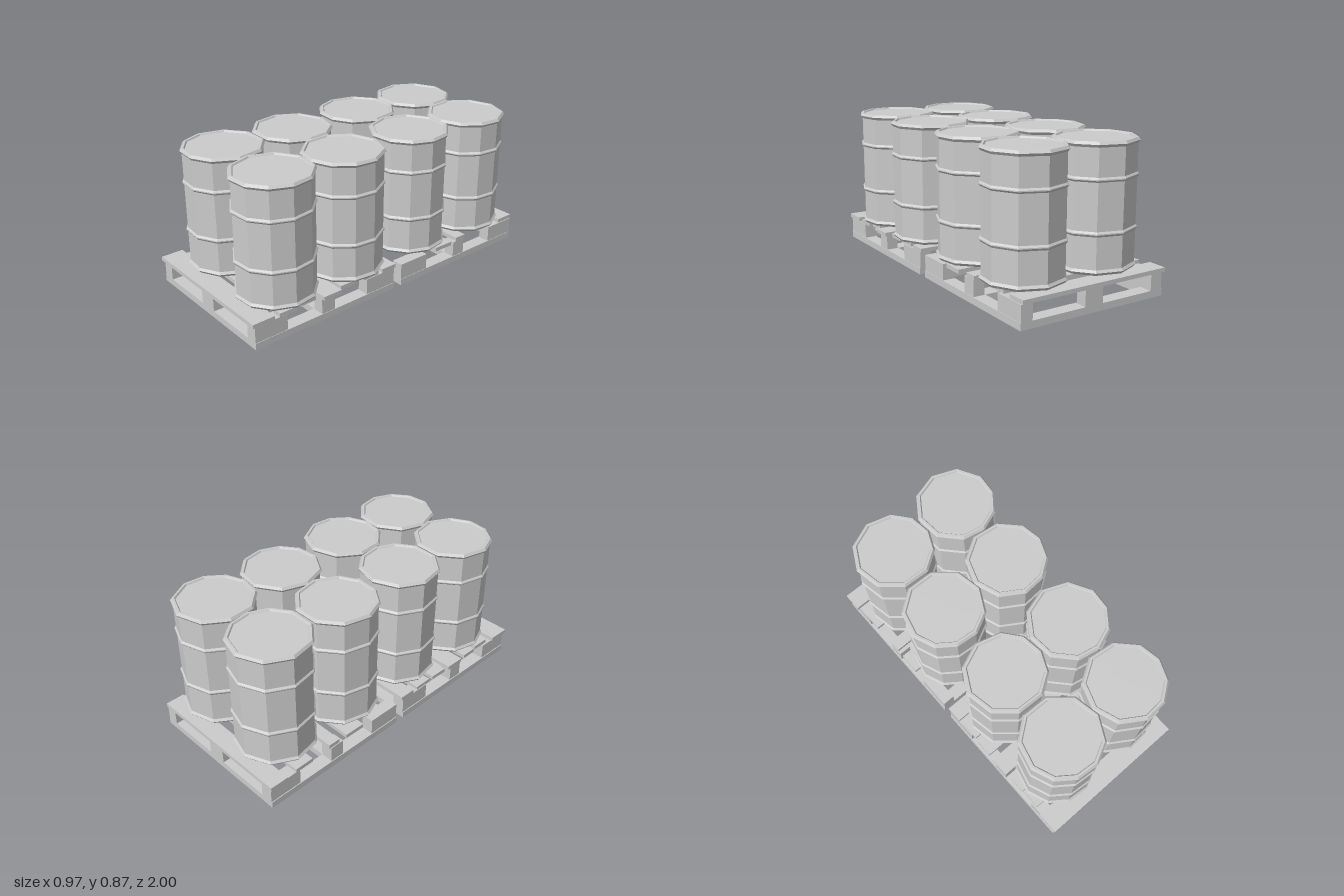
import * as THREE from 'three';

const wood = new THREE.MeshStandardMaterial({ color: 0xcccccc, flatShading: true });
const steel = new THREE.MeshStandardMaterial({ color: 0xcccccc, flatShading: true });

// Box given by its limits on each axis
function box(parent, name, x0, x1, y0, y1, z0, z1) {
  const mesh = new THREE.Mesh(new THREE.BoxGeometry(x1 - x0, y1 - y0, z1 - z0), wood);
  mesh.position.set((x0 + x1) / 2, (y0 + y1) / 2, (z0 + z1) / 2);
  mesh.name = name;
  parent.add(mesh);
  return mesh;
}

// Slightly uneven ten-sided drum: lathe profile whose columns are moved to these angles
const drumAngles = [-13, 20, 51, 83, 115, 153, 192, 231, 270, 308, 347];
const drumProfile = [
  [0, 0.165], [0.215, 0.16], [0.224, 0.16], [0.237, 0.176], [0.226, 0.19],
  [0.226, 0.368], [0.235, 0.38], [0.235, 0.386], [0.226, 0.396],
  [0.226, 0.657], [0.235, 0.667], [0.235, 0.673], [0.226, 0.683],
  [0.226, 0.838], [0.237, 0.853], [0.226, 0.868], [0.214, 0.868], [0.208, 0.859], [0, 0.859],
];

function drumGeometry() {
  const points = drumProfile.map(([r, y]) => new THREE.Vector2(r, y));
  const geometry = new THREE.LatheGeometry(points, 10);
  const p = geometry.attributes.position;
  for (let i = 0; i < p.count; i++) {
    const a = THREE.MathUtils.degToRad(drumAngles[Math.floor(i / points.length)]);
    const r = points[i % points.length].x;
    p.setX(i, r * Math.sin(a));
    p.setZ(i, r * Math.cos(a));
  }
  geometry.computeVertexNormals();
  return geometry;
}

// Pallet base: bottom frame and nine blocks, z measured from the pallet centre
function palletBase() {
  const base = new THREE.Group();
  base.name = 'palletBase';
  const h = 0.48;
  for (const [z0, z1] of [[-h, -h + 0.08], [-0.045, 0.045], [h - 0.08, h]])
    box(base, 'bottomBoard', -0.48, 0.453, 0, 0.04, z0, z1);
  for (const [x0, x1] of [[-0.48, -0.4], [0.375, 0.453]])
    for (const s of [-1, 1])
      box(base, 'bottomRunner', x0, x1, 0, 0.04, s > 0 ? 0.045 : 0.08 - h, s > 0 ? h - 0.08 : -0.045);
  for (const [x0, x1, end] of [[-0.475, -0.4, 0.205], [-0.065, 0.05, 0.07], [0.38, 0.45, 0.205]])
    for (const [z0, z1] of [[-h, end - h], [-0.045, 0.045], [h - end, h]])
      box(base, 'block', x0, x1, 0.04, 0.135, z0, z1);
  return base;
}

// Deck boards: left end, right end, back edge, front edge, yaw, roll
const frontDeck = [
  [-0.475, 0.45, 0.015, 0.115, 0, 0],
  [-0.47, 0.45, 0.15, 0.26, 0.01, 0.008],
  [-0.475, 0.44, 0.295, 0.405, -0.012, -0.006],
  [-0.48, 0.475, 0.435, 0.555, 0, 0],
  [-0.47, 0.44, 0.59, 0.69, 0.012, 0.006],
  [-0.465, 0.45, 0.715, 0.825, -0.01, -0.008],
  [-0.485, 0.455, 0.865, 1.0, 0, 0],
];
const backDeck = [
  [-0.49, 0.445, -1.0, -0.885, 0, 0],
  [-0.475, 0.44, -0.82, -0.7, 0.012, 0.008],
  [-0.47, 0.45, -0.565, -0.49, 0, 0],
  [-0.475, 0.465, -0.435, -0.305, -0.01, 0],
];

function pallet(name, z, deck) {
  const group = new THREE.Group();
  group.name = name;
  const base = palletBase();
  base.position.z = z;
  group.add(base);
  for (const [x0, x1, z0, z1, yaw, roll] of deck) {
    const board = box(group, 'deckBoard', x0, x1, 0.135, 0.159, z0, z1);
    board.rotation.set(0, yaw, roll);
  }
  return group;
}

export function createModel() {
  const model = new THREE.Group();
  model.name = 'drumsOnPallets';
  model.add(pallet('frontPallet', 0.507, frontDeck), pallet('backPallet', -0.512, backDeck));

  // Four drums on each pallet: x, z, turn in degrees
  const geometry = drumGeometry();
  const layout = [[-0.21, 0.24, 30], [0.25, 0.24, -15], [-0.22, 0.702, -72], [0.24, 0.702, 0]];
  for (const shift of [0, -0.966])
    for (const [x, z, turn] of layout) {
      const drum = new THREE.Mesh(geometry, steel);
      drum.name = 'drum';
      drum.position.set(x, 0, z + shift);
      drum.rotation.y = THREE.MathUtils.degToRad(turn);
      model.add(drum);
    }
  return model;
}
